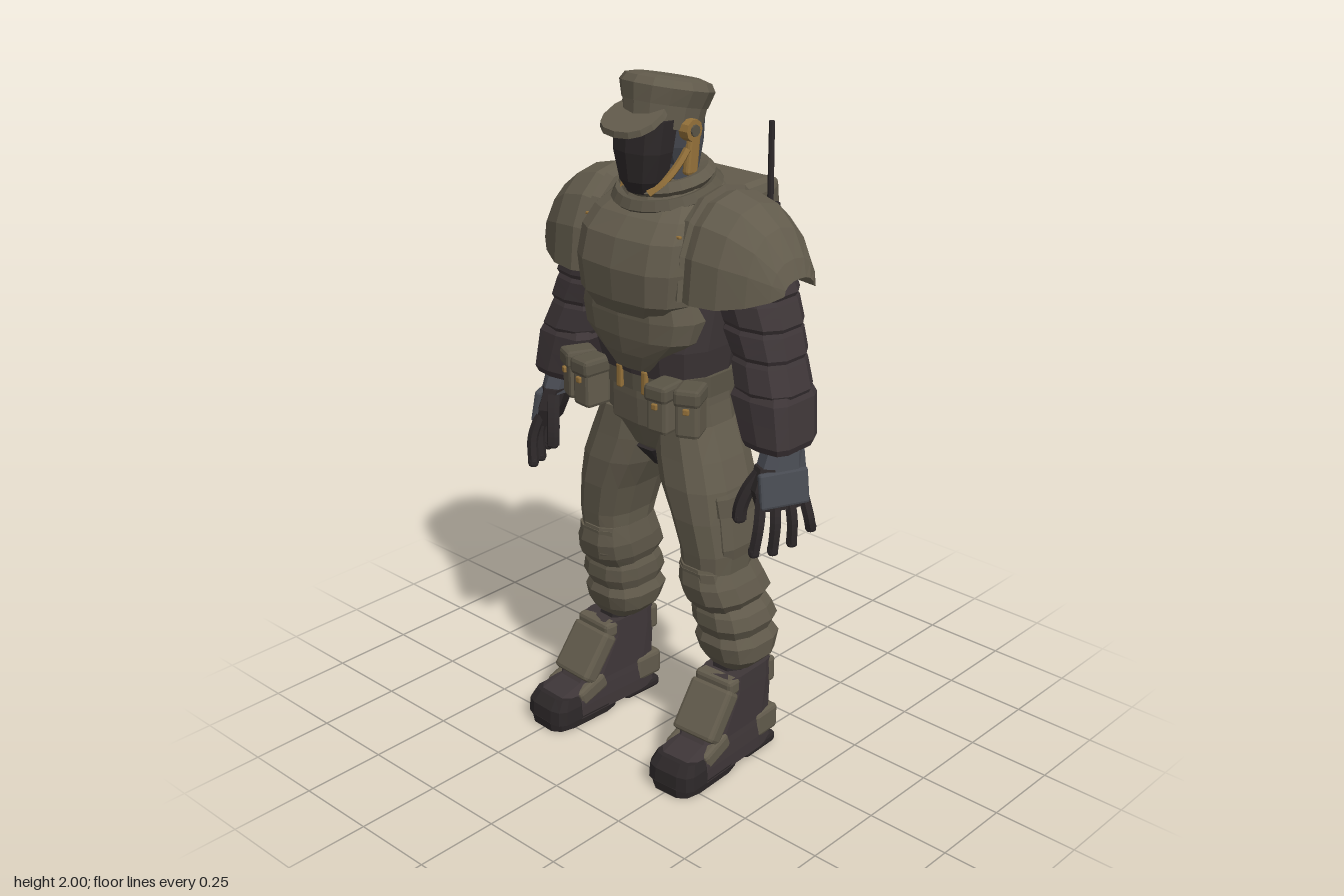
import * as THREE from 'three';
import { RoundedBoxGeometry } from 'three/addons/geometries/RoundedBoxGeometry.js';

const mat = (name, color) => { const m = new THREE.MeshStandardMaterial({ color }); m.name = name; return m; };

export function createModel() {
  const olive = mat('olive cloth', 0x625b4c), oliveDark = mat('dark olive trim', 0x5a5446);
  const dark = mat('dark sleeve', 0x3e3638), black = mat('black gear', 0x2d2829);
  const slate = mat('slate metal', 0x484b52), gold = mat('brass', 0x94713a);
  const shell = mat('shoulder shell', 0x625b4c);
  shell.side = THREE.DoubleSide;
  const model = new THREE.Group();
  model.name = 'armouredTrooper';

  // faceted mesh helper
  const add = (parent, name, geo, m) => {
    const g = geo.index ? geo.toNonIndexed() : geo;
    g.computeVertexNormals();
    const mesh = new THREE.Mesh(g, m);
    mesh.name = name;
    parent.add(mesh);
    return mesh;
  };
  const fromGrid = (pos, idx) => {
    const g = new THREE.BufferGeometry();
    g.setAttribute('position', new THREE.Float32BufferAttribute(pos, 3));
    g.setIndex(idx);
    return g;
  };
  const bend = (v, k) => Math.sign(v) * Math.abs(v) ** k;
  // stacked superellipse rings, bottom to top: [y, centreX, centreZ, radiusX, radiusZ]
  const loft = (rows, n = 10, e = 2.6) => {
    const pos = [], idx = [], last = rows.length - 1;
    for (const [y, cx, cz, rx, rz] of rows)
      for (let j = 0; j < n; j++) {
        const a = (j + 0.5) / n * Math.PI * 2;
        pos.push(cx + rx * bend(Math.cos(a), 2 / e), y, cz + rz * bend(Math.sin(a), 2 / e));
      }
    for (const r of [rows[0], rows[last]]) pos.push(r[1], r[0], r[2]);
    const c = n * rows.length;
    for (let j = 0; j < n; j++) {
      const k = (j + 1) % n;
      for (let i = 0; i < last; i++) {
        const a = i * n + j, b = i * n + k;
        idx.push(a, a + n, b, b, a + n, b + n);
      }
      idx.push(c, j, k, c + 1, last * n + k, last * n + j);
    }
    return fromGrid(pos, idx);
  };
  const box = (parent, name, m, [w, h, d], [x, y, z], [rx, ry, rz] = [0, 0, 0], bevel = 0.012) => {
    const b = add(parent, name, new RoundedBoxGeometry(w, h, d, 1, Math.min(bevel, w / 3, h / 3, d / 3)), m);
    b.position.set(x, y, z);
    b.rotation.set(rx, ry, rz);
    return b;
  };
  const tube = (parent, name, m, pts, r, sides = 6, closed = false) => add(parent, name, new THREE.TubeGeometry(
    new THREE.CatmullRomCurve3(pts.map(p => new THREE.Vector3(...p)), closed), pts.length * 3, r, sides, closed), m);
  // half-arch sections along x: [x, bottomY, topY, halfDepth]
  const arch = (rows, n = 8) => {
    const pos = [], idx = [];
    for (const [x, b, t, w] of rows)
      for (let j = 0; j <= n; j++) {
        const a = j / n * Math.PI;
        pos.push(x, b + (t - b) * Math.sin(a) ** 0.85, w * bend(Math.cos(a), 0.88));
      }
    for (let i = 0; i < rows.length - 1; i++)
      for (let j = 0; j < n; j++) {
        const a = i * (n + 1) + j, b = a + n + 1;
        idx.push(a, b, a + 1, a + 1, b, b + 1);
      }
    return fromGrid(pos, idx);
  };
  const mirror = (src, name) => {
    const out = new THREE.Group();
    out.name = name;
    src.updateMatrixWorld(true);
    src.traverse(o => {
      if (!o.isMesh) return;
      const g = o.geometry.clone().applyMatrix4(o.matrixWorld).scale(-1, 1, 1);
      const p = g.attributes.position, a = new THREE.Vector3(), b = new THREE.Vector3();
      for (let i = 0; i < p.count; i += 3) {
        a.fromBufferAttribute(p, i + 1);
        b.fromBufferAttribute(p, i + 2);
        p.setXYZ(i + 1, b.x, b.y, b.z);
        p.setXYZ(i + 2, a.x, a.y, a.z);
      }
      add(out, o.name, g, o.material);
    });
    model.add(out);
  };
  const group = (name, parent = model) => { const g = new THREE.Group(); g.name = name; parent.add(g); return g; };

  // torso, from hips to shoulders
  const body = group('body');
  add(body, 'pelvis', loft([[0.9, 0, 0.0, 0.07, 0.07], [0.95, 0, 0.01, 0.15, 0.115], [1.02, 0, 0.015, 0.2, 0.135],
    [1.1, 0, 0.02, 0.19, 0.135], [1.2, 0, 0.02, 0.185, 0.135]], 14), olive);
  add(body, 'gusset', loft([[0.875, 0, 0.01, 0.015, 0.07], [0.94, 0, 0.02, 0.06, 0.115]], 8), black);
  add(body, 'undersuit', loft([[1.18, 0, 0.03, 0.187, 0.145], [1.27, 0, 0.035, 0.205, 0.16], [1.42, 0, 0.02, 0.222, 0.155],
    [1.5, 0, 0.01, 0.215, 0.145], [1.6, 0, 0, 0.19, 0.135], [1.66, 0, 0, 0.15, 0.115]], 14), dark);
  add(body, 'bellyPlate', loft([[1.2, 0, 0.12, 0.085, 0.07], [1.25, 0, 0.12, 0.13, 0.09], [1.3, 0, 0.11, 0.19, 0.11],
    [1.36, 0, 0.1, 0.205, 0.125], [1.42, 0, 0.1, 0.19, 0.125]], 14), olive);
  add(body, 'chestPlate', loft([[1.37, 0, 0.1, 0.15, 0.125], [1.41, 0, 0.09, 0.188, 0.155], [1.5, 0, 0.08, 0.2, 0.172],
    [1.58, 0, 0.07, 0.196, 0.16], [1.63, 0, 0.06, 0.18, 0.125], [1.675, 0, 0.035, 0.14, 0.085]], 14, 3.1), olive);
  add(body, 'belt', loft([[1.13, 0, 0.02, 0.2, 0.15], [1.19, 0, 0.02, 0.2, 0.152]], 14), oliveDark);
  add(body, 'collar', loft([[1.61, 0, 0.04, 0.158, 0.13], [1.66, 0, 0.03, 0.145, 0.125], [1.71, 0, 0.02, 0.118, 0.108]], 12, 2), olive);
  // scarf folds drooping toward the front
  for (const [y, r, tilt, m] of [[1.645, 0.145, 0.035, olive], [1.68, 0.132, 0.03, oliveDark], [1.715, 0.11, 0.022, olive]]) {
    const ring = [];
    for (let i = 0; i < 8; i++) {
      const a = i / 8 * Math.PI * 2;
      ring.push([r * Math.cos(a), y - tilt * Math.sin(a), 0.03 + r * 0.95 * Math.sin(a)]);
    }
    tube(body, 'scarfFold', m, ring, 0.024, 5, true);
  }

  // head and cap
  const head = group('head');
  add(head, 'neck', loft([[1.64, 0, 0.0, 0.07, 0.06], [1.75, 0, 0.0, 0.07, 0.06], [1.8, 0, 0.01, 0.083, 0.075], [1.89, 0, 0.02, 0.09, 0.09]], 10), slate);
  add(head, 'faceMask', loft([[1.685, 0, 0.125, 0.042, 0.035], [1.72, 0, 0.12, 0.066, 0.06], [1.8, 0, 0.122, 0.088, 0.068],
    [1.885, 0, 0.11, 0.093, 0.075]], 10, 2.3), black);
  for (const s of [1, -1]) {
    tube(head, 'jawFrame', gold, [[s * 0.092, 1.8, 0.05], [s * 0.086, 1.765, 0.075], [s * 0.07, 1.72, 0.115], [s * 0.045, 1.69, 0.15]], 0.011, 5);
    box(head, 'jawHinge', gold, [0.024, 0.11, 0.042], [s * 0.083, 1.78, 0.025], [-0.12, 0, 0]);
    for (const [r, w, x, m] of [[0.03, 0.03, 0.107, gold], [0.016, 0.008, 0.123, oliveDark]]) {
      const ear = add(head, 'earpiece', new THREE.CylinderGeometry(r, r, w, 10), m);
      ear.position.set(s * x, 1.855, 0.055);
      ear.rotation.z = -s * Math.PI / 2;
    }
  }
  const cap = group('cap', head);
  cap.position.set(0, 1.893, 0.042);
  cap.rotation.x = -0.22;
  add(cap, 'capBand', loft([[-0.045, 0, 0, 0.1, 0.112], [0.02, 0, 0, 0.106, 0.12]], 14, 2.1), olive);
  add(cap, 'capCrown', loft([[0.015, 0, 0, 0.108, 0.122], [0.06, 0, 0, 0.124, 0.13], [0.08, 0, 0, 0.112, 0.118], [0.088, 0, 0, 0.08, 0.09]], 14, 2.1), olive);
  const brim = add(cap, 'capBrim', loft([[-0.008, 0, 0, 0.092, 0.084], [0.008, 0, 0, 0.088, 0.077]], 14, 2.4), olive);
  brim.position.set(0, -0.028, 0.112);
  brim.rotation.x = 0.66;

  // arm: shell, banded sleeve, cuff, hand
  const arm = group('leftArm');
  add(arm, 'shoulderPad', arch([[0.172, 1.43, 1.69, 0.168], [0.22, 1.43, 1.705, 0.185], [0.3, 1.432, 1.685, 0.172], [0.37, 1.445, 1.632, 0.135],
    [0.42, 1.462, 1.56, 0.093], [0.44, 1.475, 1.51, 0.06]]), shell);
  add(arm, 'padRim', arch([[0.15, 1.45, 1.675, 0.165], [0.155, 1.45, 1.7, 0.177], [0.18, 1.43, 1.712, 0.187], [0.188, 1.43, 1.69, 0.17]]), shell);
  box(arm, 'strapPin', gold, [0.02, 0.008, 0.01], [0.165, 1.6, 0.165]);
  const sleeve = [[1.05, 0.403, 0.022, 0.08, 0.093], [1.19, 0.37, 0.01, 0.098, 0.1], [1.28, 0.345, 0.0, 0.096, 0.098],
    [1.36, 0.318, -0.005, 0.105, 0.1], [1.44, 0.293, -0.01, 0.106, 0.103], [1.52, 0.275, -0.01, 0.095, 0.095]];
  for (let i = 0; i < 5; i++) {
    const [a, b] = [sleeve[i], sleeve[i + 1]], mid = a.map((v, k) => (v + b[k]) / 2);
    const ring = (r, dy, k) => [r[0] + dy, r[1], r[2], r[3] * k, r[4] * k];
    add(arm, 'sleeveBand', loft([ring(a, -0.008, 0.9), ring(a, 0.012, 1), mid, ring(b, -0.012, 1), ring(b, 0.008, 0.9)], 10, i < 1 ? 4 : 2.6), dark);
  }
  // hand turned so the knuckles face outward and forward
  const hand = group('hand', arm);
  hand.position.set(0.438, 0, 0.05);
  hand.rotation.y = -0.42;
  add(hand, 'palm', loft([[0.885, 0.016, 0.008, 0.026, 0.074], [0.94, 0.004, 0.01, 0.036, 0.084], [1.0, -0.01, 0.002, 0.04, 0.07]], 8), black);
  add(hand, 'wrist', loft([[0.985, -0.008, 0.0, 0.043, 0.07], [1.06, -0.025, -0.015, 0.048, 0.052]], 8), slate);
  box(hand, 'handPlate', slate, [0.022, 0.1, 0.145], [0.032, 0.945, 0.01], [0, 0, 0.17]);
  for (let i = 0; i < 4; i++) {
    const z = -0.052 + i * 0.041, tip = 0.765 + [0.05, 0.015, 0, 0.005][i];
    tube(hand, 'finger', black, [[0.022, 0.92, z], [0.042, 0.85, z * 1.22], [0.038, tip, z * 1.38]], 0.0165, 6);
    box(hand, 'fingertip', black, [0.028, 0.03, 0.028], [0.038, tip + 0.004, z * 1.38]);
  }
  tube(hand, 'thumb', black, [[-0.012, 0.99, 0.05], [-0.026, 0.93, 0.088], [-0.032, 0.88, 0.106], [-0.032, 0.845, 0.11]], 0.02, 6);
  box(hand, 'thumbTip', black, [0.032, 0.03, 0.032], [-0.032, 0.85, 0.11]);
  mirror(arm, 'rightArm');

  // belt pouches and buckle
  const pouches = group('leftPouches');
  for (const [x, z, ry] of [[0.14, 0.19, 0.1], [0.212, 0.165, 0.45]]) {
    const p = group('pouch', pouches);
    p.position.set(x, 1.125, z);
    p.rotation.y = ry;
    box(p, 'pouchBody', olive, [0.07, 0.125, 0.085], [0, -0.005, 0]);
    box(p, 'pouchFlap', oliveDark, [0.076, 0.05, 0.095], [0, 0.05, 0.003]);
    box(p, 'pouchButton', gold, [0.018, 0.018, 0.01], [0, 0.015, 0.047]);
  }
  box(pouches, 'buckleStrip', gold, [0.02, 0.07, 0.014], [0.047, 1.163, 0.172]);
  mirror(pouches, 'rightPouches');

  // trouser leg
  const leg = group('leftLeg');
  add(leg, 'trouserThigh', loft([[0.6, 0.2, 0.04, 0.082, 0.1], [0.68, 0.2, 0.03, 0.088, 0.12], [0.78, 0.179, 0.03, 0.098, 0.13],
    [0.87, 0.15, 0.025, 0.116, 0.135], [0.95, 0.125, 0.02, 0.115, 0.13], [1.04, 0.105, 0.015, 0.098, 0.125]], 12), olive);
  add(leg, 'kneeFold', loft([[0.49, 0.21, 0.005, 0.08, 0.1], [0.53, 0.212, 0.008, 0.1, 0.134], [0.58, 0.204, 0.025, 0.096, 0.13],
    [0.64, 0.195, 0.035, 0.08, 0.115]], 12), olive);
  add(leg, 'kneePad', loft([[0.51, 0.205, 0.08, 0.06, 0.04], [0.55, 0.205, 0.09, 0.075, 0.055], [0.63, 0.2, 0.105, 0.07, 0.047]], 8), olive);
  add(leg, 'calfFold', loft([[0.4, 0.222, -0.015, 0.09, 0.1], [0.44, 0.224, -0.014, 0.105, 0.122], [0.48, 0.218, -0.006, 0.1, 0.115],
    [0.52, 0.21, 0.0, 0.08, 0.1]], 12), olive);
  add(leg, 'ankleCuff', loft([[0.295, 0.23, -0.02, 0.065, 0.075], [0.33, 0.23, -0.02, 0.1, 0.1], [0.38, 0.225, -0.022, 0.108, 0.118],
    [0.42, 0.222, -0.015, 0.09, 0.1]], 12), olive);
  add(leg, 'cargoPocket', loft([[0.665, 0.252, 0.02, 0.036, 0.075], [0.7, 0.254, 0.02, 0.04, 0.085], [0.82, 0.235, 0.02, 0.047, 0.085]], 8, 4), olive);
  add(leg, 'cargoFlap', loft([[0.8, 0.238, 0.02, 0.05, 0.09], [0.85, 0.228, 0.02, 0.048, 0.09], [0.872, 0.222, 0.02, 0.035, 0.08]], 8, 4), oliveDark);
  box(leg, 'cargoButton', gold, [0.012, 0.016, 0.016], [0.286, 0.812, 0.03]);

  // boot
  const boot = group('boot', leg);
  boot.position.set(0.24, 0, 0);
  boot.rotation.y = 0.05;
  box(boot, 'heelBlock', black, [0.148, 0.035, 0.14], [0, 0.0175, -0.038]);
  add(boot, 'forefootSole', loft([[0, 0, 0.185, 0.076, 0.13], [0.03, 0, 0.185, 0.081, 0.135]], 12, 4), black);
  add(boot, 'bootFoot', loft([[0.022, 0, 0.1, 0.08, 0.208], [0.06, 0, 0.105, 0.079, 0.205], [0.1, 0, 0.09, 0.075, 0.185], [0.12, 0, 0.05, 0.072, 0.15],
    [0.24, 0, 0.0, 0.068, 0.105], [0.29, 0, -0.004, 0.066, 0.1]], 12, 5), dark);
  add(boot, 'bootSock', loft([[0.28, -0.01, -0.01, 0.055, 0.075], [0.33, -0.012, -0.015, 0.055, 0.07]], 8), black);
  add(boot, 'toeCap', loft([[0.026, 0, 0.255, 0.083, 0.063], [0.07, 0, 0.255, 0.081, 0.06], [0.1, 0, 0.245, 0.07, 0.045]], 12, 3.6), black);
  box(boot, 'shinPanel', olive, [0.146, 0.16, 0.055], [0, 0.19, 0.136], [-0.64, 0, 0]);
  box(boot, 'shinTop', olive, [0.134, 0.05, 0.05], [0, 0.265, 0.082]);
  box(boot, 'instep', olive, [0.156, 0.055, 0.11], [0, 0.098, 0.17], [0.35, 0, 0]);
  box(boot, 'heelPatch', olive, [0.156, 0.08, 0.1], [0, 0.09, -0.06]);
  box(boot, 'backStrip', olive, [0.13, 0.08, 0.03], [0, 0.247, -0.095]);
  mirror(leg, 'rightLeg');

  // backpack with pockets, radio and antenna
  const pack = group('backpack');
  box(pack, 'packBody', olive, [0.31, 0.45, 0.145], [0, 1.45, -0.2], [0.04, 0, 0], 0.03);
  box(pack, 'upperPocket', olive, [0.26, 0.15, 0.05], [0, 1.59, -0.27], [0.1, 0, 0], 0.015);
  box(pack, 'lowerPocket', olive, [0.27, 0.23, 0.06], [0, 1.35, -0.29], [0.03, 0, 0], 0.018);
  box(pack, 'lowerFlap', oliveDark, [0.276, 0.06, 0.066], [0, 1.45, -0.292], [0.05, 0, 0]);
  add(pack, 'radioPouch', loft([[1.25, 0.172, -0.19, 0.025, 0.036], [1.41, 0.174, -0.19, 0.028, 0.04]], 8, 3), olive);
  const rod = (name, r, x, y0, y1) => {
    const c = add(pack, name, new THREE.CylinderGeometry(r * 0.9, r, y1 - y0, 8), black);
    c.position.set(x, (y0 + y1) / 2, -0.197);
  };
  rod('radioHandset', 0.023, 0.182, 1.38, 1.62);
  rod('antenna', 0.009, 0.172, 1.6, 1.845);
  return model;
}
